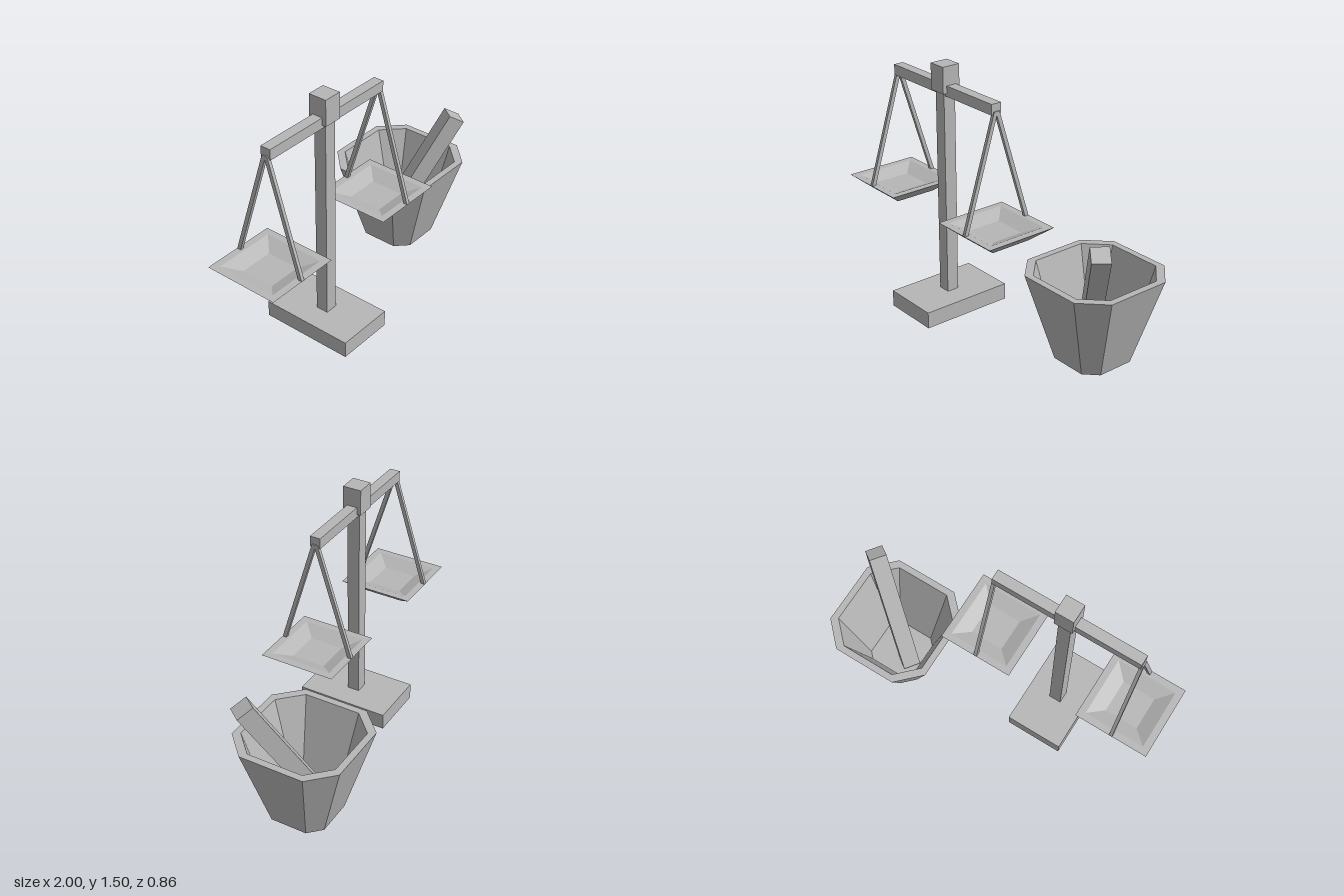
import * as THREE from 'three';

const grey = new THREE.MeshStandardMaterial({ color: 0xb6b6b6 });
grey.name = 'plain grey';

function addMesh(parent, name, geometry, x = 0, y = 0, z = 0) {
  const mesh = new THREE.Mesh(geometry, grey);
  mesh.name = name;
  mesh.position.set(x, y, z);
  parent.add(mesh);
  return mesh;
}

// Square ring of half-width h; e is the half-length of its straight sides (e = h gives sharp corners)
function ring([y, h, e]) {
  return [[h, -e], [h, e], [e, h], [-e, h], [-h, e], [-h, -e], [-e, -h], [e, -h]]
    .map(([x, z]) => new THREE.Vector3(x, y, z));
}

// Faceted vessel through rings, running from the underside, over the rim, to the inner floor
function vessel(profile) {
  const rings = profile.map(ring);
  const points = [];
  const addTriangle = (a, b, c) => {
    if (new THREE.Triangle(a, b, c).getArea() > 1e-7) points.push(a, b, c);
  };
  for (let r = 0; r < rings.length - 1; r++) {
    for (let i = 0; i < 8; i++) {
      const j = (i + 1) % 8;
      const a = rings[r][i], b = rings[r][j], c = rings[r + 1][j], d = rings[r + 1][i];
      addTriangle(a, d, b);
      addTriangle(b, d, c);
    }
  }
  const geometry = new THREE.BufferGeometry().setFromPoints(points);
  geometry.computeVertexNormals();
  return geometry;
}

// Slanted hanger rod, side +1 for the front and -1 for the back
function hangerRod(side) {
  const shape = new THREE.Shape(
    [[0.018, 1.34], [-0.007, 1.34], [0.202, 0.668], [0.227, 0.668]]
      .map(([z, y]) => new THREE.Vector2(-z * side, y)));
  const geometry = new THREE.ExtrudeGeometry(shape, { depth: 0.02, bevelEnabled: false });
  return geometry.translate(0, 0, -0.01).rotateY(Math.PI / 2);
}

export function createModel() {
  const model = new THREE.Group();
  model.name = 'scalesAndMortar';

  // Balance scales
  const scales = new THREE.Group();
  scales.name = 'scales';
  scales.position.set(-0.325, 0, 0.144);
  model.add(scales);
  addMesh(scales, 'base', new THREE.BoxGeometry(0.354, 0.1, 0.57), 0, 0.05, 0);
  addMesh(scales, 'post', new THREE.BoxGeometry(0.076, 1.25, 0.076), 0, 0.715, 0);
  addMesh(scales, 'beam', new THREE.BoxGeometry(0.9, 0.063, 0.063), 0, 1.353, 0);
  addMesh(scales, 'cap', new THREE.BoxGeometry(0.112, 0.156, 0.112), 0, 1.418, 0);

  // Hanging pans with a shallow dish and two rods each
  const panGeometry = vessel([
    [0.587, 0, 0], [0.587, 0.128, 0.128], [0.67, 0.227, 0.227],
    [0.67, 0.185, 0.185], [0.632, 0.1, 0.1], [0.632, 0, 0],
  ]);
  for (const [name, x] of [['rightPan', -0.448], ['leftPan', 0.446]]) {
    const hanger = new THREE.Group();
    hanger.name = name + 'Assembly';
    hanger.position.x = x;
    scales.add(hanger);
    addMesh(hanger, name, panGeometry);
    addMesh(hanger, name + 'FrontRod', hangerRod(1));
    addMesh(hanger, name + 'BackRod', hangerRod(-1));
  }

  // Eight-sided mortar bowl
  addMesh(model, 'mortar', vessel([
    [0, 0, 0], [0, 0.183, 0.11], [0.525, 0.333, 0.195],
    [0.525, 0.293, 0.168], [0.04, 0.152, 0.115], [0.04, 0, 0],
  ]), 0.665, 0, -0.1);

  // Pestle leaning towards the front left
  const length = 0.858;
  const pestle = addMesh(model, 'pestle', new THREE.BoxGeometry(0.104, length, 0.104));
  const heading = Math.atan2(-0.594, 0.804);
  pestle.rotation.set(0, heading, -Math.PI / 6, 'YXZ');
  const axis = new THREE.Vector3(0, 1, 0).applyEuler(pestle.rotation);
  pestle.position.set(0.921, 0.784, 0.113).addScaledVector(axis, -length / 2);

  return model;
}
